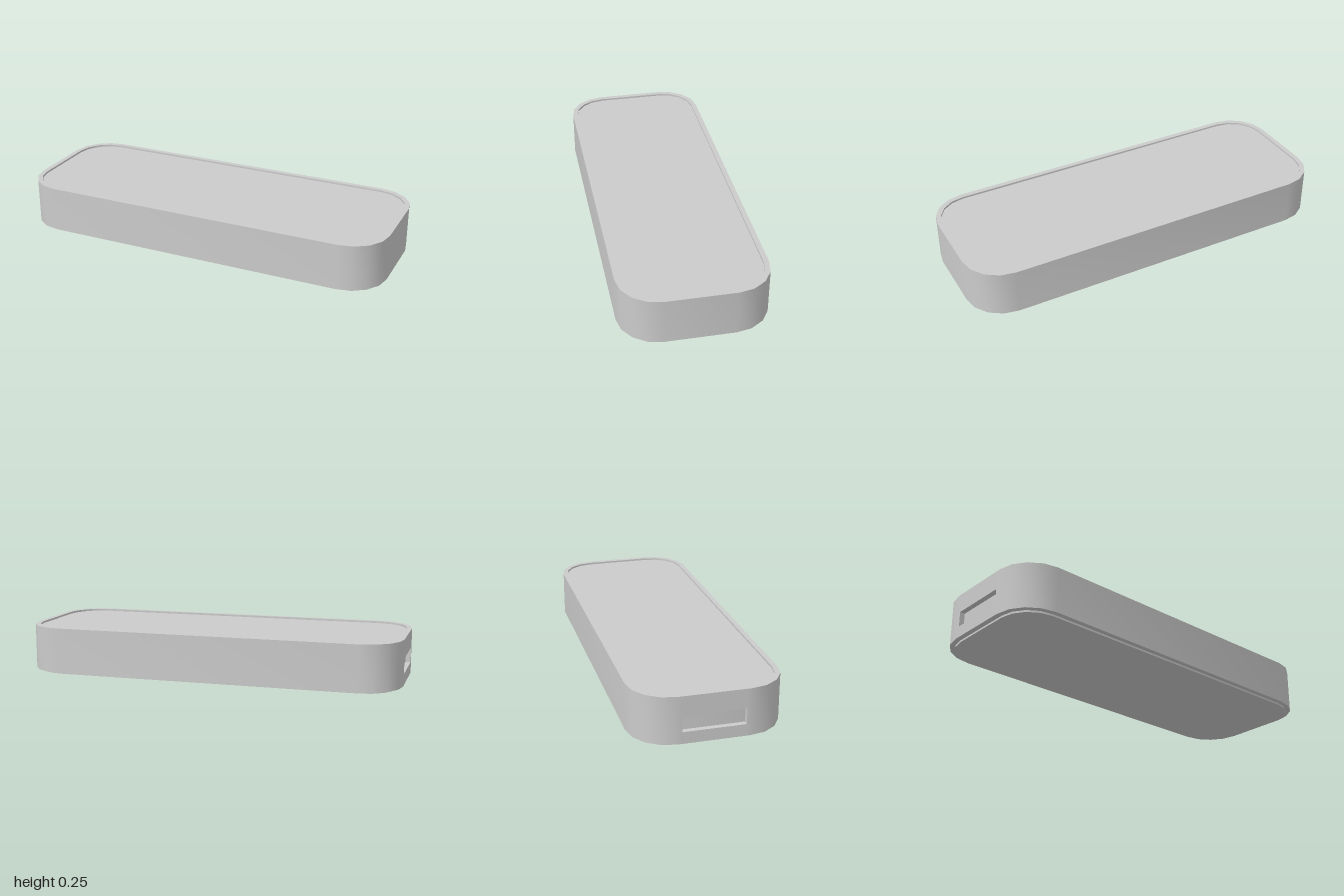
import * as THREE from 'three';
import { toCreasedNormals } from 'three/addons/utils/BufferGeometryUtils.js';

const HALF_X = 1, HALF_Z = 0.374, RADIUS = 0.2, WALL = 0.027;
const SHELL_BOTTOM = 0.01, SHELL_TOP = 0.25;
const SLOT = { half: 0.155, bottom: 0.07, top: 0.15 };

// Rounded rectangle, running from the -x edge all the way round to it again
function outline(inset) {
  const r = RADIUS - inset, steps = 4, points = [];
  const centres = [[-1, -1], [1, -1], [1, 1], [-1, 1]];
  centres.forEach(([sx, sy], corner) => {
    for (let i = 0; i <= steps; i++) {
      const a = Math.PI + (corner + i / steps) * Math.PI / 2;
      points.push(new THREE.Vector2(
        sx * (HALF_X - RADIUS) + r * Math.cos(a),
        sy * (HALF_Z - RADIUS) + r * Math.sin(a)));
    }
  });
  return points;
}

// Extrude a plan outline upwards from y0 to y1
function slab(points, y0, y1) {
  const geometry = new THREE.ExtrudeGeometry(new THREE.Shape(points), { depth: y1 - y0, bevelEnabled: false });
  geometry.rotateX(-Math.PI / 2).translate(0, y0, 0);
  return toCreasedNormals(geometry, 0.6);
}

export function createModel() {
  const group = new THREE.Group();
  const material = new THREE.MeshStandardMaterial({ color: 0xcccccc });
  const add = (name, geometry) => {
    const mesh = new THREE.Mesh(geometry, material);
    mesh.name = name;
    group.add(mesh);
    return mesh;
  };

  // Outer wall, open at the -x end where the slot sits
  const xOut = -HALF_X, xIn = -HALF_X + WALL;
  const wall = [
    new THREE.Vector2(xOut, -SLOT.half),
    ...outline(0),
    new THREE.Vector2(xOut, SLOT.half),
    new THREE.Vector2(xIn, SLOT.half),
    ...outline(WALL).reverse(),
    new THREE.Vector2(xIn, -SLOT.half),
  ];
  add('outerWall', slab(wall, SHELL_BOTTOM, SHELL_TOP));

  // End wall below and above the slot
  const ends = [['slotSill', SHELL_BOTTOM, SLOT.bottom], ['slotLintel', SLOT.top, SHELL_TOP]];
  for (const [name, y0, y1] of ends) {
    const mesh = add(name, new THREE.BoxGeometry(WALL, y1 - y0, SLOT.half * 2));
    mesh.position.set((xOut + xIn) / 2, (y0 + y1) / 2, 0);
  }

  // Inner body: sits just below the rim and stands proud underneath
  add('innerBody', slab(outline(WALL), 0, SHELL_TOP - 0.01));

  return group;
}
